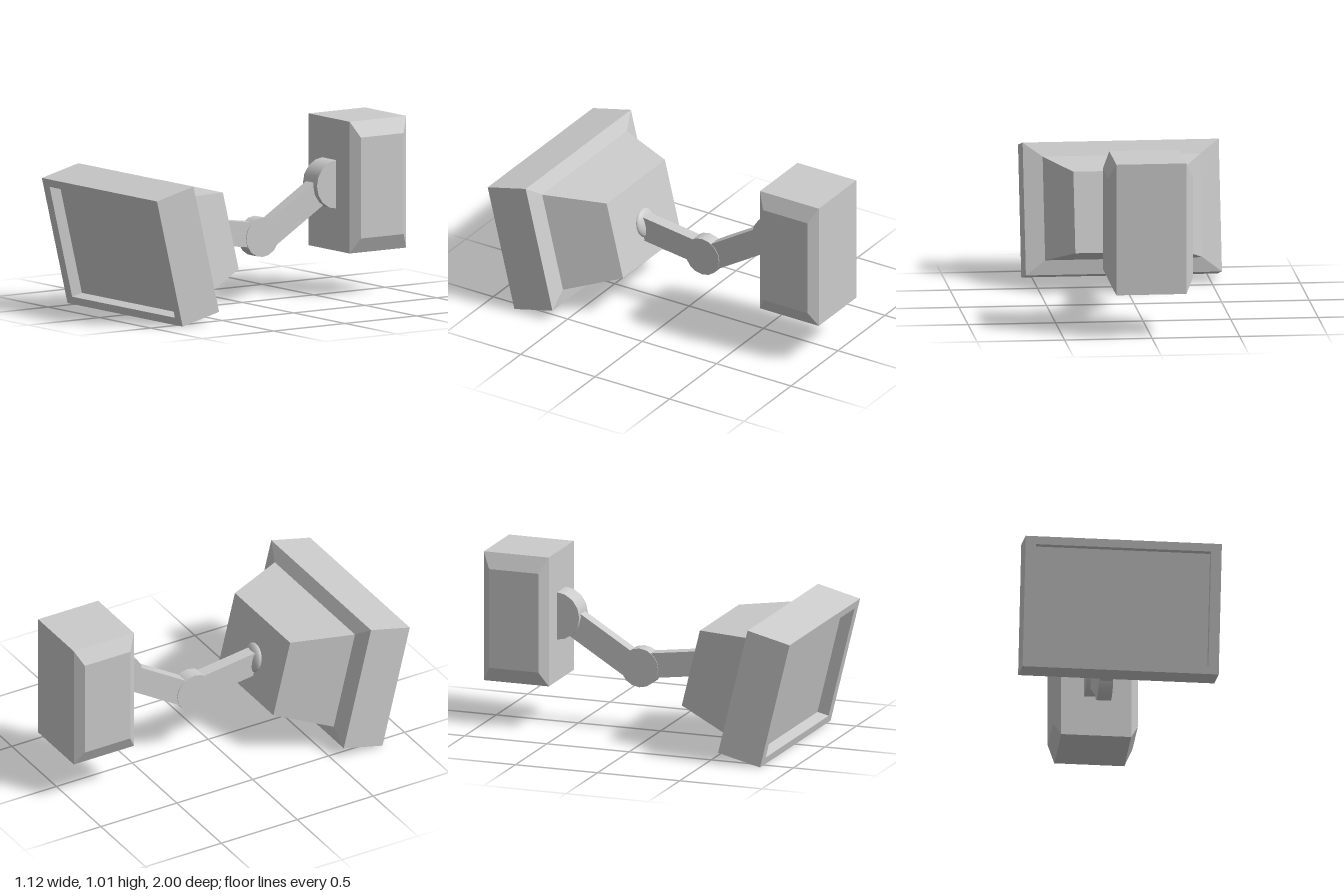
import * as THREE from 'three';

const material = new THREE.MeshStandardMaterial({ color: 0xcccccc });

function add(parent, name, geometry, x = 0, y = 0, z = 0) {
  const mesh = new THREE.Mesh(geometry, material);
  mesh.name = name;
  mesh.position.set(x, y, z);
  parent.add(mesh);
  return mesh;
}

// Flat-shaded skin through rectangular rings [half width, bottom, top, z], front to back
function rectLoft(rings, capFront, capBack) {
  const corners = rings.map(([w, lo, hi, z]) => [[-w, lo, z], [w, lo, z], [w, hi, z], [-w, hi, z]]);
  const pos = [];
  const quad = (a, b, c, d) => pos.push(...a, ...b, ...c, ...a, ...c, ...d);
  for (let i = 0; i < corners.length - 1; i++) {
    const p = corners[i], q = corners[i + 1];
    for (let j = 0; j < 4; j++) {
      const k = (j + 1) % 4;
      quad(p[j], q[j], q[k], p[k]);
    }
  }
  if (capFront) quad(...corners[0]);
  if (capBack) quad(...corners[corners.length - 1].slice().reverse());
  const geometry = new THREE.BufferGeometry();
  geometry.setAttribute('position', new THREE.Float32BufferAttribute(pos, 3));
  geometry.computeVertexNormals();
  return geometry;
}

// Disc whose axis runs along x
function disc(radius, width) {
  return new THREE.CylinderGeometry(radius, radius, width, 16).rotateZ(Math.PI / 2);
}

// Square bar between two [z, y] points
function bar(parent, name, [z0, y0], [z1, y1], width, height) {
  const dz = z1 - z0, dy = y1 - y0;
  const mesh = add(parent, name, new THREE.BoxGeometry(width, height, Math.hypot(dz, dy)),
    0, (y0 + y1) / 2, (z0 + z1) / 2);
  mesh.rotation.x = -Math.atan(dy / dz);
}

export function createModel() {
  const model = new THREE.Group();
  model.name = 'wallMountedMonitor';

  // Monitor, tilted down; its origin is the middle of the front face
  const monitor = new THREE.Group();
  monitor.name = 'monitor';
  monitor.position.set(0, 0.3675, 0.91);
  monitor.rotation.x = 0.24;
  model.add(monitor);

  add(monitor, 'screen', new THREE.PlaneGeometry(1, 0.664), 0, 0, -0.07);
  add(monitor, 'bezel', rectLoft([
    [0.5, -0.332, 0.332, -0.07],
    [0.5, -0.332, 0.332, 0],
    [0.56, -0.378, 0.378, 0],
    [0.56, -0.378, 0.378, -0.263],
    [0.45, -0.295, 0.295, -0.285],
  ]));
  add(monitor, 'rearHousing', rectLoft([
    [0.45, -0.295, 0.295, -0.285],
    [0.31, -0.272, 0.192, -0.615],
  ], false, true));

  // Shallow dome where the arm meets the housing
  const dome = new THREE.SphereGeometry(0.085, 24, 8, 0, Math.PI * 2, 0, Math.PI / 2);
  dome.scale(1, 0.38, 1).rotateX(-Math.PI / 2);
  add(monitor, 'ballSocket', dome, 0, -0.06, -0.615);

  // Two-part arm with an elbow
  bar(model, 'frontArm', [0.3, 0.435], [-0.1, 0.381], 0.074, 0.144);
  add(model, 'elbowJoint', disc(0.114, 0.082), 0, 0.37, -0.113);
  bar(model, 'rearArm', [-0.12, 0.347], [-0.57, 0.623], 0.074, 0.15);

  // Wall block with bevelled side panels, and its pivot
  add(model, 'wallPivot', disc(0.14, 0.138), 0.004, 0.635, -0.61);
  const block = add(model, 'wallBlock', rectLoft([
    [0.15, 0.34, 0.92, 0.242],
    [0.1975, 0.253, 1.01, 0.2],
    [0.1975, 0.253, 1.01, -0.2],
    [0.15, 0.34, 0.92, -0.242],
  ], true, true), 0.004, 0, -0.8025);
  block.rotation.y = Math.PI / 2;

  return model;
}
